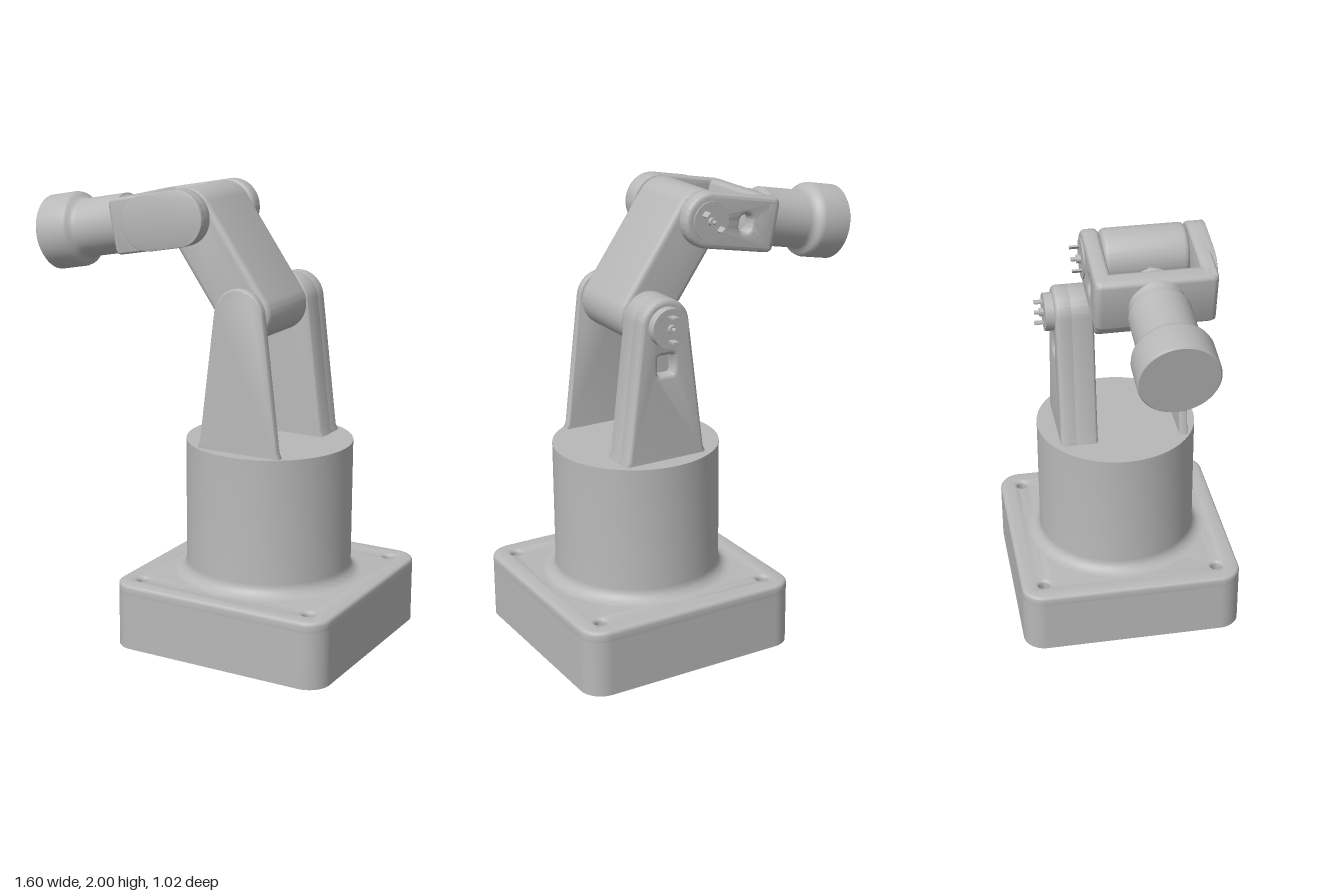
import * as THREE from 'three';
import { toCreasedNormals } from 'three/addons/utils/BufferGeometryUtils.js';
import { RoundedBoxGeometry } from 'three/addons/geometries/RoundedBoxGeometry.js';

const grey = new THREE.MeshStandardMaterial({ color: 0xb8b8b8 });
grey.name = 'matte grey';

function add(parent, name, geometry) {
  const mesh = new THREE.Mesh(toCreasedNormals(geometry, 0.6), grey);
  mesh.name = name;
  parent.add(mesh);
  return mesh;
}

// Plate from z0 to z1 with rounded edges that stay inside the outline
function plate(shape, z0, z1, b) {
  const g = new THREE.ExtrudeGeometry(shape, {
    depth: z1 - z0 - 2 * b, bevelEnabled: b > 0, bevelThickness: b, bevelSize: b,
    bevelOffset: -b, bevelSegments: 4, curveSegments: 24,
  });
  return g.translate(0, 0, z0 + b);
}

function pin(r, z0, z1) {
  return new THREE.CylinderGeometry(r, r, z1 - z0, 40).rotateX(Math.PI / 2).translate(0, 0, (z0 + z1) / 2);
}

function lathe(points) {
  return new THREE.LatheGeometry(points.map(([r, y]) => new THREE.Vector2(r, y)), 72);
}

// Stadium outline from the origin to x = len
function stadium(len, r) {
  const s = new THREE.Shape();
  s.absarc(0, 0, r, Math.PI / 2, Math.PI * 1.5);
  s.absarc(len, 0, r, -Math.PI / 2, Math.PI / 2);
  s.closePath();
  return s;
}

function roundedRect(cx, cy, w, h, r, Type = THREE.Shape) {
  const s = new Type(), x = w / 2 - r, y = h / 2 - r;
  [[x, y], [-x, y], [-x, -y], [x, -y]].forEach(([px, py], i) =>
    s.absarc(cx + px, cy + py, r, i * Math.PI / 2, (i + 1) * Math.PI / 2));
  s.closePath();
  return s;
}

// Tapered upright with a round top centred on the shoulder axis
function uprightShape() {
  const s = new THREE.Shape(), a = 0.12;
  s.moveTo(-0.2, -0.64);
  s.lineTo(0.2, -0.64);
  s.lineTo(0.197, -0.587);
  s.lineTo(0.186, -0.565);
  s.absarc(0, 0, 0.115, a, Math.PI - a);
  s.lineTo(-0.186, -0.565);
  s.lineTo(-0.197, -0.587);
  s.closePath();
  return s;
}

// Yoke side wall: round at the elbow, square at the wrist
function wallShape() {
  const s = new THREE.Shape();
  s.absarc(0, 0, 0.12, -Math.PI / 2, Math.PI / 2);
  s.lineTo(-0.31, 0.12);
  s.quadraticCurveTo(-0.335, 0.12, -0.335, 0.095);
  s.lineTo(-0.335, -0.095);
  s.quadraticCurveTo(-0.335, -0.12, -0.31, -0.12);
  s.closePath();
  return s;
}

// Motor face pointing along -z, with a centre stub and two prongs in a line
function motorFace(parent, name, thick) {
  const g = new THREE.Group();
  g.name = name;
  add(g, 'motorDisc', pin(0.085, -thick, 0.02));
  add(g, 'centreStub', pin(0.018, -thick - 0.018, -thick));
  add(g, 'centrePin', pin(0.009, -thick - 0.04, -thick));
  for (const y of [-0.052, 0.052]) {
    add(g, 'prong', new THREE.BoxGeometry(0.026, 0.008, 0.042).translate(0, y, -thick - 0.02));
  }
  parent.add(g);
  return g;
}

export function createModel() {
  const model = new THREE.Group();
  model.name = 'robotArm';

  // Base: solid lower slab, upper slab with countersunk screw holes
  const base = new THREE.Group();
  base.name = 'base';
  base.position.x = 0.29;
  base.rotation.x = -Math.PI / 2;
  model.add(base);
  add(base, 'baseSlab', plate(roundedRect(0, 0, 1.02, 1.02, 0.1), 0, 0.25, 0));
  const top = roundedRect(0, 0, 1.02, 1.02, 0.1);
  for (const x of [-0.405, 0.405]) for (const y of [-0.405, 0.405]) {
    const hole = new THREE.Path();
    hole.absarc(x, y, 0.024, 0, Math.PI * 2);
    top.holes.push(hole);
  }
  add(base, 'baseTop', plate(top, 0.233, 0.295, 0.017));

  // Column with a fillet where it meets the base
  const profile = [];
  for (let i = 0; i <= 8; i++) {
    const a = i / 8 * Math.PI / 2;
    profile.push([0.42 - 0.055 * Math.sin(a), 0.35 - 0.055 * Math.cos(a)]);
  }
  profile.push([0.365, 0.9], [0, 0.9]);
  add(model, 'column', lathe(profile)).position.x = 0.29;

  // Shoulder: thin front upright, thick back upright with a cable pocket
  const shoulder = new THREE.Group();
  shoulder.name = 'shoulder';
  shoulder.position.set(0.295, 1.49, 0);
  model.add(shoulder);
  add(shoulder, 'frontUpright', plate(uprightShape(), 0.265, 0.303, 0.008));
  add(shoulder, 'backUpright', plate(uprightShape(), -0.23, -0.11, 0.02));
  const outer = uprightShape();
  outer.holes.push(roundedRect(0, -0.17, 0.075, 0.085, 0.012, THREE.Path));
  add(shoulder, 'backUprightOuter', plate(outer, -0.28, -0.19, 0.02));
  add(shoulder, 'shoulderShaft', pin(0.085, -0.13, 0.28));
  motorFace(shoulder, 'shoulderMotor', 0.04).position.z = -0.28;

  // Upper arm from shoulder to elbow
  const arm = add(shoulder, 'upperArm', plate(stadium(0.477, 0.119), -0.108, 0.254, 0.025));
  arm.rotation.z = Math.atan2(0.39, -0.275);

  // Forearm: local -x runs from the elbow to the tool
  const forearm = new THREE.Group();
  forearm.name = 'forearm';
  forearm.position.set(0.02, 1.88, 0);
  forearm.rotation.z = THREE.MathUtils.degToRad(10.5);
  model.add(forearm);
  const backWall = wallShape();
  backWall.holes.push(roundedRect(-0.18, 0, 0.06, 0.075, 0.026, THREE.Path));
  add(forearm, 'yokeBackWall', plate(backWall, -0.185, -0.113, 0.02));
  add(forearm, 'yokeFrontWall', plate(wallShape(), 0.256, 0.32, 0.012));
  add(forearm, 'yokeCover', plate(stadium(-0.155, 0.12).getPoints().length ? stadium(0.155, 0.12) : null, 0.3, 0.335, 0.004))
    .position.x = -0.155;
  add(forearm, 'yokeBridge', new RoundedBoxGeometry(0.09, 0.24, 0.505, 4, 0.028).translate(-0.3, 0, 0.0675));
  add(forearm, 'elbowShaft', pin(0.085, -0.13, 0.27));
  const elbowMotor = motorFace(forearm, 'elbowMotor', 0.006);
  elbowMotor.position.z = -0.185;
  elbowMotor.rotation.z = -Math.PI / 4 - forearm.rotation.z;

  // Wrist motor inside the yoke, facing the elbow
  const wristMotor = motorFace(forearm, 'wristMotor', 0.045);
  wristMotor.position.set(-0.255, 0, 0.07);
  wristMotor.rotation.y = -Math.PI / 2;

  // Wrist neck and tool head
  const head = lathe([
    [0.118, 0.33], [0.118, 0.348], [0.113, 0.36], [0.113, 0.392], [0.118, 0.4], [0.13, 0.405],
    [0.13, 0.61], [0.133, 0.625], [0.142, 0.637], [0.155, 0.645], [0.164, 0.655], [0.168, 0.67],
    [0.168, 0.798], [0.161, 0.805], [0, 0.805],
  ]);
  add(forearm, 'toolHead', head.rotateZ(Math.PI / 2)).position.z = 0.068;

  return model;
}
